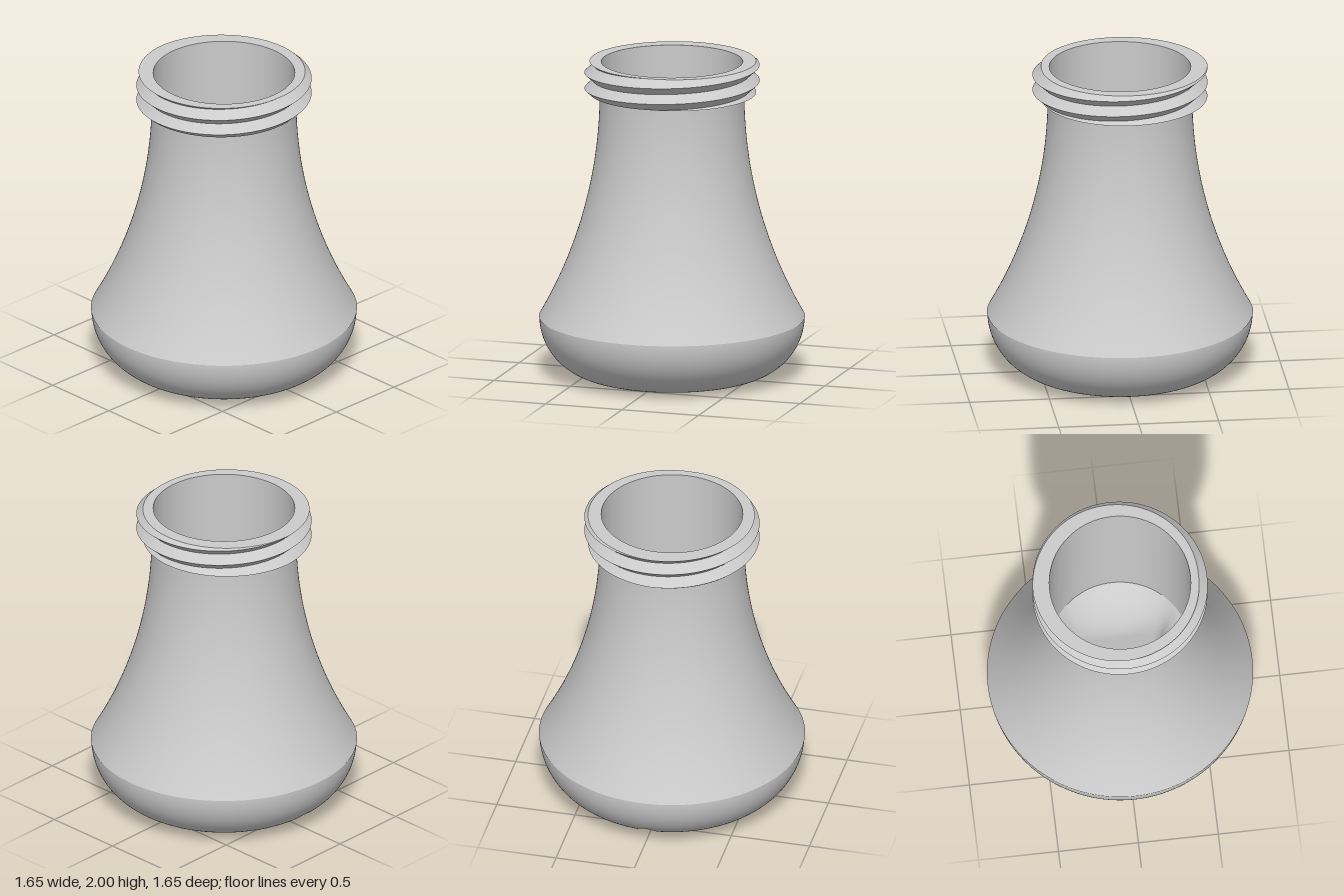
import * as THREE from 'three';
import { toCreasedNormals } from 'three/addons/utils/BufferGeometryUtils.js';

const SEG = 192;
const BORE = 0.44, NECK_R = 0.45, NECK_Y = 1.8, TOP = 2;
const FLAT_R = 0.45, FILLET = 0.375;               // flat foot and rounded base edge
const HOLE = { x: 0.275, z: 0.22, corner: 0.06 };  // rounded rectangular opening
const SLOT = { r: 0.065, y: 0.05 };                // round cable channel towards -x
const SLOT_TOP = SLOT.r + SLOT.y;

const material = new THREE.MeshStandardMaterial({ color: 0xcccccc });

// Surface through rows of points; point(j, s) gives [x, y, z], s from 0 to 1
function surface(name, rows, segs, point, crease = 0.5) {
  const pos = [], index = [];
  for (let j = 0; j < rows; j++)
    for (let i = 0; i <= segs; i++) pos.push(...point(j, i / segs));
  for (let j = 0; j < rows - 1; j++)
    for (let i = 0; i < segs; i++) {
      const a = j * (segs + 1) + i, c = a + segs + 1;
      index.push(a, c, a + 1, a + 1, c, c + 1);
    }
  const g = new THREE.BufferGeometry();
  g.setAttribute('position', new THREE.Float32BufferAttribute(pos, 3));
  g.setIndex(index);
  return mesh(name, toCreasedNormals(g, crease));
}

function mesh(name, geometry) {
  const m = new THREE.Mesh(geometry, material);
  m.name = name;
  return m;
}

// Half width of the cable channel at height y
const slotHalf = y => (y >= SLOT_TOP ? 0 : Math.sqrt(Math.max(0, SLOT.r ** 2 - (y - SLOT.y) ** 2)));

// Angle round the axis, leaving a gap of half angle a at -x
const ringAngle = (s, a) => -Math.PI + a + s * 2 * (Math.PI - a);
const polar = (r, a, y) => [r * Math.cos(a), y, r * Math.sin(a)];

// Radius of the rounded base edge at height y
const baseRadius = y => FLAT_R + Math.sqrt(Math.max(0, FILLET ** 2 - (FILLET - y) ** 2));

// Distance from the axis to the rounded rectangle at angle a
function holeRadius(a) {
  const c = Math.abs(Math.cos(a)), s = Math.abs(Math.sin(a));
  const t = Math.min(HOLE.x / Math.max(c, 1e-6), HOLE.z / Math.max(s, 1e-6));
  const qx = HOLE.x - HOLE.corner, qz = HOLE.z - HOLE.corner;
  if (t * c <= qx || t * s <= qz) return t;
  const b = c * qx + s * qz;
  return b + Math.sqrt(Math.max(0, b * b - qx * qx - qz * qz + HOLE.corner ** 2));
}

const basePoint = (y, s) => {
  const r = baseRadius(y);
  return polar(r, ringAngle(s, Math.asin(slotHalf(y) / r)), y);
};

const borePoint = (y, s) => {
  const a = ringAngle(s, Math.atan(slotHalf(y) / HOLE.x));
  const t = THREE.MathUtils.clamp((y - 0.4) / 0.4, 0, 1);
  return polar(THREE.MathUtils.lerp(holeRadius(a), BORE, t * t), a, y);
};

// Flared body: a circular arc, vertical at the neck
function makeBody() {
  const R = 2.88, points = [];
  for (let i = 0; i <= 40; i++) {
    const y = FILLET + (NECK_Y - FILLET) * i / 40;
    points.push(new THREE.Vector2(NECK_R + R - Math.sqrt(R * R - (NECK_Y - y) ** 2), y));
  }
  return mesh('flaredBody', new THREE.LatheGeometry(points, SEG));
}

// Rounded base edge, open where the channel comes out
function makeBaseEdge() {
  const ys = [], tip = Math.acos(1 - SLOT_TOP / FILLET);
  for (let i = 0; i <= 24; i++) ys.push(FILLET * (1 - Math.cos(tip * Math.sin(i / 24 * Math.PI / 2))));
  ys[24] = SLOT_TOP;
  for (let i = 1; i <= 20; i++) ys.push(FILLET * (1 - Math.cos(tip + (Math.PI / 2 - tip) * i / 20)));
  return surface('roundedBase', ys.length, SEG, (j, s) => basePoint(ys[j], s));
}

// Flat foot, one outline round the opening and the channel
function makeFoot() {
  const outline = [];
  const add = ([x, , z]) => outline.push(new THREE.Vector2(x, z));
  for (let i = 0; i <= SEG; i++) add(basePoint(0, i / SEG));
  for (let i = SEG; i >= 0; i--) add(borePoint(0, i / SEG));
  return mesh('foot', new THREE.ShapeGeometry(new THREE.Shape(outline)).rotateX(Math.PI / 2));
}

// Bore: round at the neck, blending to the rectangular opening
function makeBore() {
  const ys = [TOP, 1.4];
  for (let i = 0; i <= 24; i++) ys.push(0.8 - 0.4 * i / 24);
  for (let i = 16; i >= 0; i--) ys.push(i === 16 ? SLOT_TOP : SLOT_TOP * Math.sin(i / 16 * Math.PI / 2));
  return surface('bore', ys.length, SEG, (j, s) => borePoint(ys[j], s));
}

// Channel roof from the base edge to the opening
function makeChannel() {
  const span = Math.acos(-SLOT.y / SLOT.r);
  return surface('cableChannel', 2, 40, (j, s) => {
    const phi = span * (2 * s - 1);
    const z = SLOT.r * Math.sin(phi), y = Math.max(0, SLOT.y + SLOT.r * Math.cos(phi));
    return [j ? -HOLE.x : -Math.sqrt(baseRadius(y) ** 2 - z * z), y, z];
  });
}

// Screw thread: V profile climbing round the neck, cut flat above and below
function makeThread() {
  const pitch = 0.1, valley = 0.49, crest = 0.545, steps = 9;
  return surface('screwThread', steps + 2, SEG, (j, s) => {
    const a = s * Math.PI * 2;
    if (j === 0) return polar(NECK_R, a, NECK_Y);
    if (j === steps + 1) return polar(BORE, a, TOP);
    const crestY = 1.95 - pitch * s;
    const y = THREE.MathUtils.clamp(crestY + (j - 6) * pitch / 2 + pitch / 2, NECK_Y, TOP);
    const turns = (y - crestY) / pitch;
    const away = Math.abs(turns - Math.round(turns)) * 2;
    return polar(THREE.MathUtils.lerp(crest, valley, away), a, y);
  });
}

export function createModel() {
  const group = new THREE.Group();
  group.name = 'threadedVessel';
  group.add(makeBody(), makeBaseEdge(), makeFoot(), makeBore(), makeChannel(), makeThread());
  return group;
}
